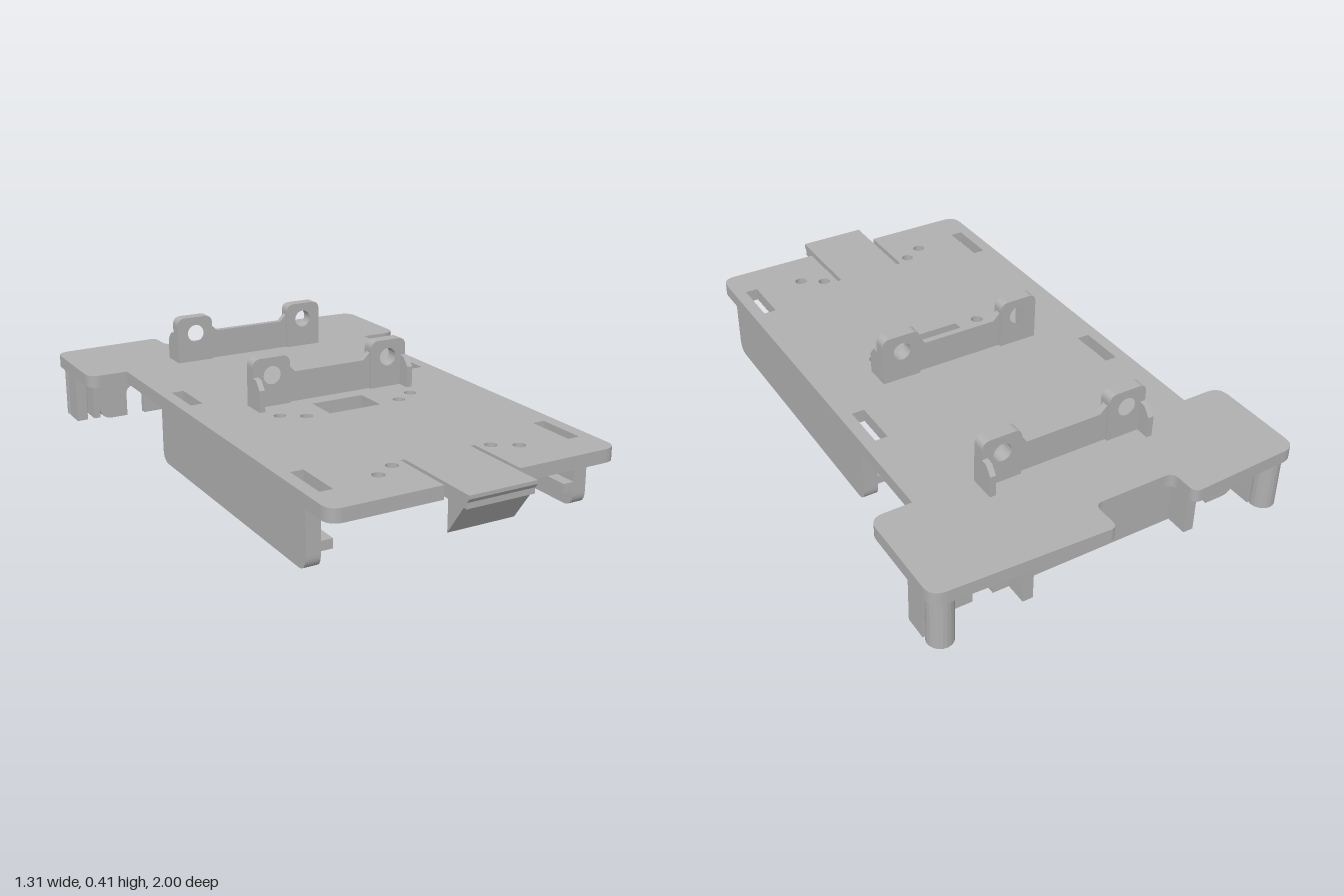
import * as THREE from 'three';

const grey = new THREE.MeshStandardMaterial({ color: 0xb0b0b0 });
grey.name = 'grey plastic';

// Closed outline from [x, y, cornerRadius] points
function outline(points, target = new THREE.Shape()) {
  const n = points.length;
  points.forEach(([x, y, r = 0], i) => {
    const p = new THREE.Vector2(x, y);
    const a = new THREE.Vector2(...points[(i + n - 1) % n].slice(0, 2)).sub(p).setLength(r).add(p);
    const b = new THREE.Vector2(...points[(i + 1) % n].slice(0, 2)).sub(p).setLength(r).add(p);
    if (i === 0) target.moveTo(a.x, a.y); else target.lineTo(a.x, a.y);
    if (r > 0) target.quadraticCurveTo(x, y, b.x, b.y);
  });
  target.closePath();
  return target;
}
const rectHole = (x0, x1, y0, y1) => outline([[x0, y0], [x0, y1], [x1, y1], [x1, y0]], new THREE.Path());
const roundHole = (x, y, r) => new THREE.Path().absarc(x, y, r, 0, Math.PI * 2, true);
const extrude = (shape, depth) => new THREE.ExtrudeGeometry(shape, { depth, bevelEnabled: false, curveSegments: 10 });
// Shape drawn as (x, -z), raised from y0 to y1
const upright = (shape, y0, y1) => extrude(shape, y1 - y0).rotateX(-Math.PI / 2).translate(0, y0, 0);
// Shape drawn as (-z, y), spanning x0 to x1
const sideways = (shape, x0, x1) => extrude(shape, x1 - x0).rotateY(Math.PI / 2).translate(x0, 0, 0);
const block = (x0, x1, y0, y1, z0, z1) =>
  new THREE.BoxGeometry(x1 - x0, y1 - y0, z1 - z0).translate((x0 + x1) / 2, (y0 + y1) / 2, (z0 + z1) / 2);

export function createModel() {
  const model = new THREE.Group();
  model.name = 'mountingTray';
  const add = (name, geometry, parent = model) => {
    const mesh = new THREE.Mesh(geometry, grey);
    mesh.name = name;
    parent.add(mesh);
    return mesh;
  };
  const bottom = 0.195, top = 0.24;
  const screwPairs = [[[0.18, 0.17], [0.255, 0.125]], [[0.18, 0.695], [0.255, 0.74]]];

  // T-shaped deck with a notch at the back and a slit spring tongue in front
  const deck = outline([
    [-0.51, -0.9, 0.05], [-0.135, -0.9], [-0.135, -0.67], [-0.12, -0.67],
    [-0.12, -0.99], [0.12, -0.99], [0.12, -0.67], [0.135, -0.67], [0.135, -0.9],
    [0.51, -0.9, 0.05], [0.51, 0.605], [0.655, 0.605, 0.05], [0.655, 0.975, 0.05],
    [0.05, 1, 0.025], [0.05, 0.885, 0.03], [-0.24, 0.885, 0.03], [-0.24, 0.992, 0.03],
    [-0.655, 0.975, 0.05], [-0.655, 0.605, 0.05], [-0.51, 0.605],
  ]);
  deck.holes.push(rectHole(-0.1, 0.095, -0.185, -0.065));
  for (const s of [-1, 1]) {
    const x = s * 0.445;
    deck.holes.push(rectHole(x - 0.022, x + 0.022, 0.12, 0.285), rectHole(x - 0.022, x + 0.022, -0.77, -0.595));
    for (const [hx, hz] of screwPairs.flat()) deck.holes.push(roundHole(s * hx, -hz, 0.021));
  }
  add('deck', upright(deck, bottom, top));

  // Wedge latch at the end of the tongue
  add('tongueLatch', sideways(outline([[-1, 0.24], [-0.9, 0.24], [-0.9, 0.09], [-1, 0.228]]), -0.12, 0.12));

  // Two upright brackets with pierced ears and corner gussets
  for (const [name, z, dir] of [['frontBracket', -0.003, 1], ['rearBracket', -0.632, -1]]) {
    const bracket = new THREE.Group();
    bracket.name = name;
    for (const s of [-1, 1]) {
      const ear = outline([
        [s * 0.16, top], [s * 0.3, top], [s * 0.3, 0.41, 0.03], [s * 0.16, 0.41, 0.03],
      ]);
      ear.holes.push(roundHole(s * 0.228, 0.348, 0.032));
      add('ear', extrude(ear, 0.044).translate(0, 0, -0.022), bracket);
      const gusset = outline([[0, top], [0, 0.35], [-0.045, 0.345], [-0.07, 0.315], [-0.07, top]]
        .map(([u, v]) => [u * dir, v]));
      add('gusset', sideways(gusset, s * 0.29 - 0.01, s * 0.29 + 0.01), bracket);
    }
    const web = outline([
      [-0.16, top], [0.16, top], [0.16, 0.37], [0.135, 0.345], [-0.135, 0.345], [-0.16, 0.37],
    ]);
    add('web', extrude(web, 0.022).translate(0, 0, -0.011), bracket);
    bracket.position.z = z;
    model.add(bracket);
  }

  // Side walls with inward clips at both ends
  const wall = outline([[-0.765, bottom], [-0.765, 0, 0.045], [0.275, 0, 0.045], [0.275, bottom]]);
  for (const s of [-1, 1]) {
    add('sideWall', sideways(wall, s * 0.485 - 0.025, s * 0.485 + 0.025));
    const [x0, x1] = s > 0 ? [0.42, 0.47] : [-0.47, -0.42];
    add('frontClip', block(x0, x1, 0.055, 0.087, 0.6, 0.765));
    add('rearClip', block(x0, x1, 0.055, 0.087, -0.275, -0.12));
  }

  // Stiffening slats under the deck, stopping short of the window and tongue
  const slats = [[0, 0.22, 0.65], [0.118, -0.1, 0.65], [0.217, -0.1, 0.7], [0.34, -0.1, 0.75]];
  for (const [x, z0, z1] of slats) {
    for (const s of x ? [-1, 1] : [1]) {
      add('slat', block(s * x - 0.012, s * x + 0.012, 0.15, bottom, z0, z1));
    }
  }
  add('centreSlat', block(-0.012, 0.012, 0.15, bottom, -0.1, 0.04));
  for (const z of [0.04, 0.21]) add('windowRib', block(-0.118, 0.118, 0.15, bottom, z - 0.01, z + 0.01));
  for (const z of [0.3, 0.52]) add('crossRib', block(-0.34, 0.34, 0.165, bottom, z - 0.01, z + 0.01));

  // Rounded screw pads, each around two holes
  for (const s of [-1, 1]) {
    for (const [[ax, az], [bx, bz]] of screwPairs) {
      const angle = Math.atan2(az - bz, bx - ax);
      const pad = new THREE.Shape();
      pad.absarc(bx, -bz, 0.046, angle - Math.PI / 2, angle + Math.PI / 2, false);
      pad.absarc(ax, -az, 0.046, angle + Math.PI / 2, angle + Math.PI * 1.5, false);
      const mirrored = new THREE.Shape(pad.getPoints(10).map((p) => new THREE.Vector2(s * p.x, p.y)));
      mirrored.holes.push(roundHole(s * ax, -az, 0.021), roundHole(s * bx, -bz, 0.021));
      add('screwPad', upright(mirrored, 0.15, bottom));
    }
  }

  // Rear skirt with an arched cut-out near each end
  const arch = (s) => [[s * 0.44, 0], [s * 0.44, 0.118, 0.035], [s * 0.37, 0.118, 0.035], [s * 0.37, 0]];
  const skirt = outline([
    [-0.55, bottom], [-0.55, 0, 0.05], ...arch(-1), ...arch(1).reverse(), [0.55, 0, 0.05], [0.55, bottom],
  ]);
  add('rearSkirt', extrude(skirt, 0.025).translate(0, 0, -0.838));

  // Hollow corner posts, their webs, and ribs behind the skirt
  for (const s of [-1, 1]) {
    const post = new THREE.Shape().absarc(s * 0.598, 0.922, 0.043, 0, Math.PI * 2, false);
    post.holes.push(roundHole(s * 0.598, 0.922, 0.02));
    add('cornerPost', upright(post, 0.008, bottom));
    const outer = s * 0.62, inner = s * 0.562;
    add('postWeb', block(outer - 0.02, outer + 0.02, 0.008, bottom, -0.895, -0.813));
    add('postWeb', block(inner - 0.012, inner + 0.012, 0.008, bottom, -0.91, -0.813));
    add('skirtRib', block(s * 0.3 - 0.018, s * 0.3 + 0.018, 0.008, bottom, -0.92, -0.835));
  }
  return model;
}
